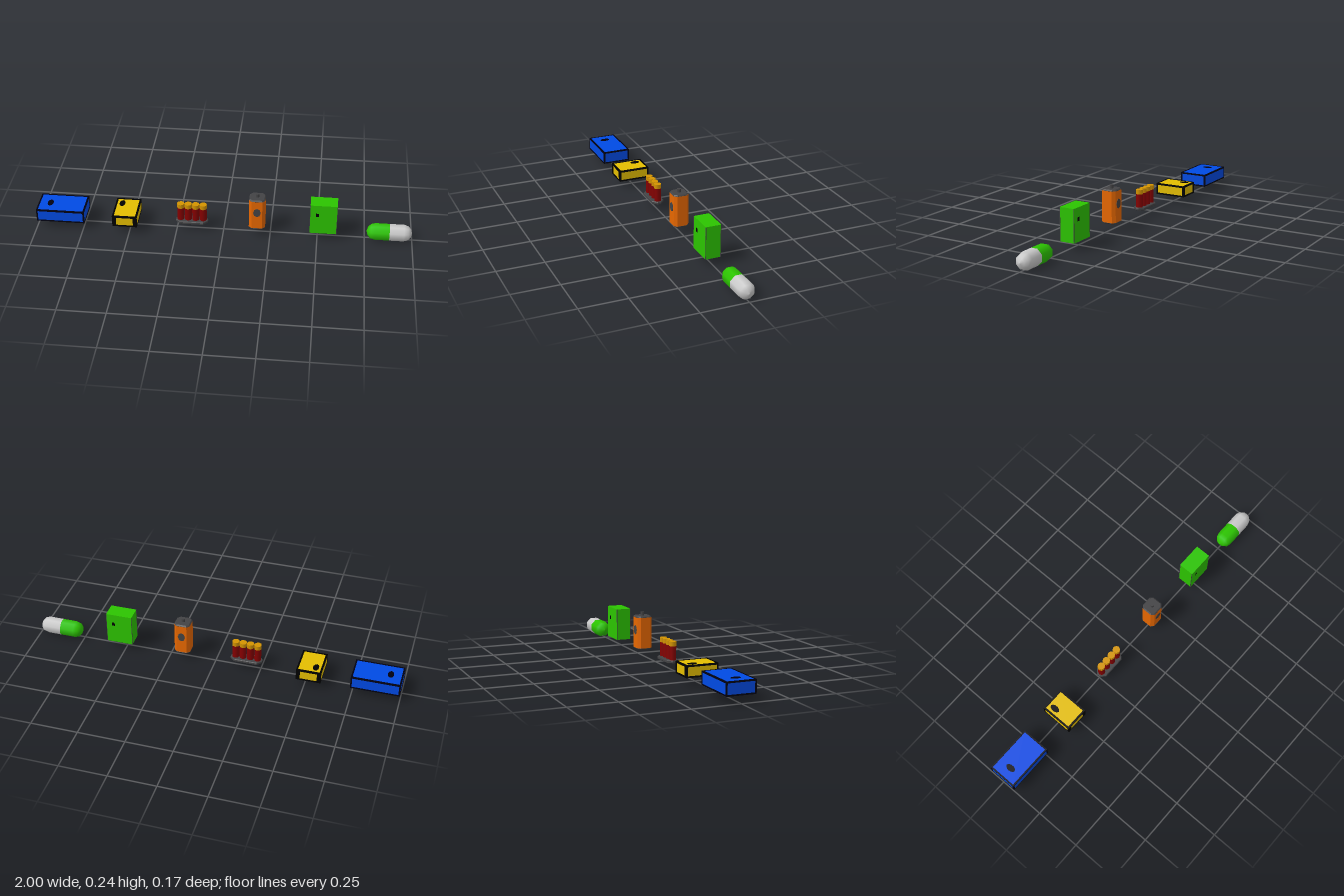
import * as THREE from 'three';

const colours = {
  blue: 0x004ae4, navy: 0x000012, yellow: 0xe4be00, black: 0x000000, red: 0x860000,
  gold: 0xd49400, orange: 0xe86800, darkGrey: 0x434345, green: 0x2cc400, paleGrey: 0xcccccc,
};
const mats = {};
for (const [name, color] of Object.entries(colours)) {
  mats[name] = new THREE.MeshStandardMaterial({ color });
  mats[name].name = name;
}

function add(parent, name, geometry, material, x = 0, y = 0, z = 0) {
  const mesh = new THREE.Mesh(geometry, material);
  mesh.name = name;
  mesh.position.set(x, y, z);
  parent.add(mesh);
  return mesh;
}

function item(parent, name, x, y, z = 0) {
  const group = new THREE.Group();
  group.name = name;
  group.position.set(x, y, z);
  parent.add(group);
  return group;
}

// Upright prism with cut corners and a small bevel on its top and bottom rims
function cutPrism(w, h, d, cut, bevel) {
  const a = w / 2 - bevel, b = d / 2 - bevel, c = cut;
  const pts = [[a, b - c], [a - c, b], [c - a, b], [-a, b - c], [-a, c - b], [c - a, -b], [a - c, -b], [a, c - b]];
  const shape = new THREE.Shape(pts.map(p => new THREE.Vector2(...p)));
  const geo = new THREE.ExtrudeGeometry(shape, {
    depth: h - 2 * bevel, bevelEnabled: bevel > 0, bevelSize: bevel, bevelThickness: bevel, bevelSegments: 1,
  });
  geo.translate(0, 0, bevel - h / 2);
  return geo.rotateX(-Math.PI / 2);
}

// Thin dark bars along all twelve edges of a box
function edgeFrame(parent, w, h, d, t, material) {
  const size = [w, h, d];
  for (let axis = 0; axis < 3; axis++) {
    const p = (axis + 1) % 3, q = (axis + 2) % 3;
    for (const i of [-1, 1]) for (const j of [-1, 1]) {
      const dim = [t, t, t], pos = [0, 0, 0];
      dim[axis] = size[axis] + 0.002;
      pos[p] = i * (size[p] / 2 + 0.001 - t / 2);
      pos[q] = j * (size[q] / 2 + 0.001 - t / 2);
      add(parent, 'edgeTrim', new THREE.BoxGeometry(...dim), material, ...pos);
    }
  }
}

// Oval badge on the top and the bottom of a box, mirrored from end to end
function ovalBadges(parent, h, x, z, material) {
  for (const s of [-1, 1]) {
    const badge = add(parent, 'ovalBadge', new THREE.CylinderGeometry(1, 1, 0.003, 10), material, s * x, s * h / 2, z);
    badge.scale.set(0.016, 1, 0.027);
  }
}

export function createModel() {
  const model = new THREE.Group();
  model.name = 'supplyRow';

  // Large blue carton
  const carton = item(model, 'blueCarton', -0.87, 0.075);
  add(carton, 'cartonBody', new THREE.BoxGeometry(0.256, 0.068, 0.154), mats.blue);
  edgeFrame(carton, 0.256, 0.068, 0.154, 0.008, mats.navy);
  ovalBadges(carton, 0.068, -0.065, 0.002, mats.navy);

  // Small yellow carton
  const smallBox = item(model, 'yellowCarton', -0.522, 0.072);
  add(smallBox, 'cartonBody', new THREE.BoxGeometry(0.13, 0.061, 0.171), mats.yellow);
  edgeFrame(smallBox, 0.13, 0.061, 0.171, 0.009, mats.black);
  ovalBadges(smallBox, 0.061, -0.03, -0.04, mats.black);
  for (const x of [-1, 1]) for (const z of [-1, 1]) {
    add(smallBox, 'cornerPatch', new THREE.BoxGeometry(0.02, 0.061, 0.002), mats.black, x * 0.055, 0, z * 0.0855);
  }

  // Four shells on a clip
  const shells = item(model, 'shellClip', -0.17, 0);
  add(shells, 'clipBase', cutPrism(0.172, 0.016, 0.066, 0.022, 0.003), mats.darkGrey, 0, 0.048, 0);
  for (let i = 0; i < 4; i++) {
    const x = (i - 1.5) * 0.04;
    add(shells, 'shellCase', new THREE.CylinderGeometry(0.019, 0.019, 0.077, 8), mats.red, x, 0.0925, 0);
    add(shells, 'shellCap', new THREE.CylinderGeometry(0.02, 0.02, 0.024, 8), mats.gold, x, 0.141, 0);
  }

  // Orange canister with end caps, a knob and round badges
  const canister = item(model, 'canister', 0.179, 0);
  add(canister, 'canisterBody', cutPrism(0.086, 0.168, 0.082, 0.015, 0), mats.orange, 0, 0.132, 0);
  add(canister, 'topCap', cutPrism(0.086, 0.013, 0.084, 0.012, 0.006), mats.darkGrey, 0, 0.217, 0);
  add(canister, 'bottomCap', cutPrism(0.086, 0.013, 0.084, 0.012, 0.006), mats.darkGrey, 0, 0.047, 0);
  add(canister, 'knob', new THREE.CylinderGeometry(0.01, 0.01, 0.024, 8), mats.darkGrey, 0, 0.23, 0);
  for (const s of [-1, 1]) {
    const badge = add(canister, 'badge', new THREE.CylinderGeometry(1, 1, 0.003, 8), mats.darkGrey, 0, 0.147, s * 0.041);
    badge.rotation.x = Math.PI / 2;
    badge.scale.set(0.02, 1, 0.026);
  }

  // Tall green carton with a small mark on each broad face and fine seams on the ends
  const tall = item(model, 'greenCarton', 0.529, 0.1275);
  add(tall, 'cartonBody', new THREE.BoxGeometry(0.142, 0.175, 0.083), mats.green);
  for (const s of [-1, 1]) {
    add(tall, 'smallMark', new THREE.BoxGeometry(0.015, 0.02, 0.002), mats.black, -s * 0.032, 0.028, s * 0.041);
    for (const z of [-0.0401, 0.0401]) {
      add(tall, 'endSeam', new THREE.BoxGeometry(0.002, 0.175, 0.003), mats.darkGrey, s * 0.0708, 0, z);
    }
  }

  // Two-tone capsule lying on its side
  const capsule = item(model, 'capsule', 0.879, 0.0435);
  const profile = [[0.0455, 0], [0.0455, 0.076], [0.039, 0.098], [0.023, 0.113], [0, 0.12]]
    .map(p => new THREE.Vector2(...p));
  for (const s of [-1, 1]) {
    const half = add(capsule, s < 0 ? 'greenHalf' : 'paleHalf',
      new THREE.LatheGeometry(profile, 8, Math.PI / 8), s < 0 ? mats.green : mats.paleGrey);
    half.rotation.z = -s * Math.PI / 2;
  }

  return model;
}
